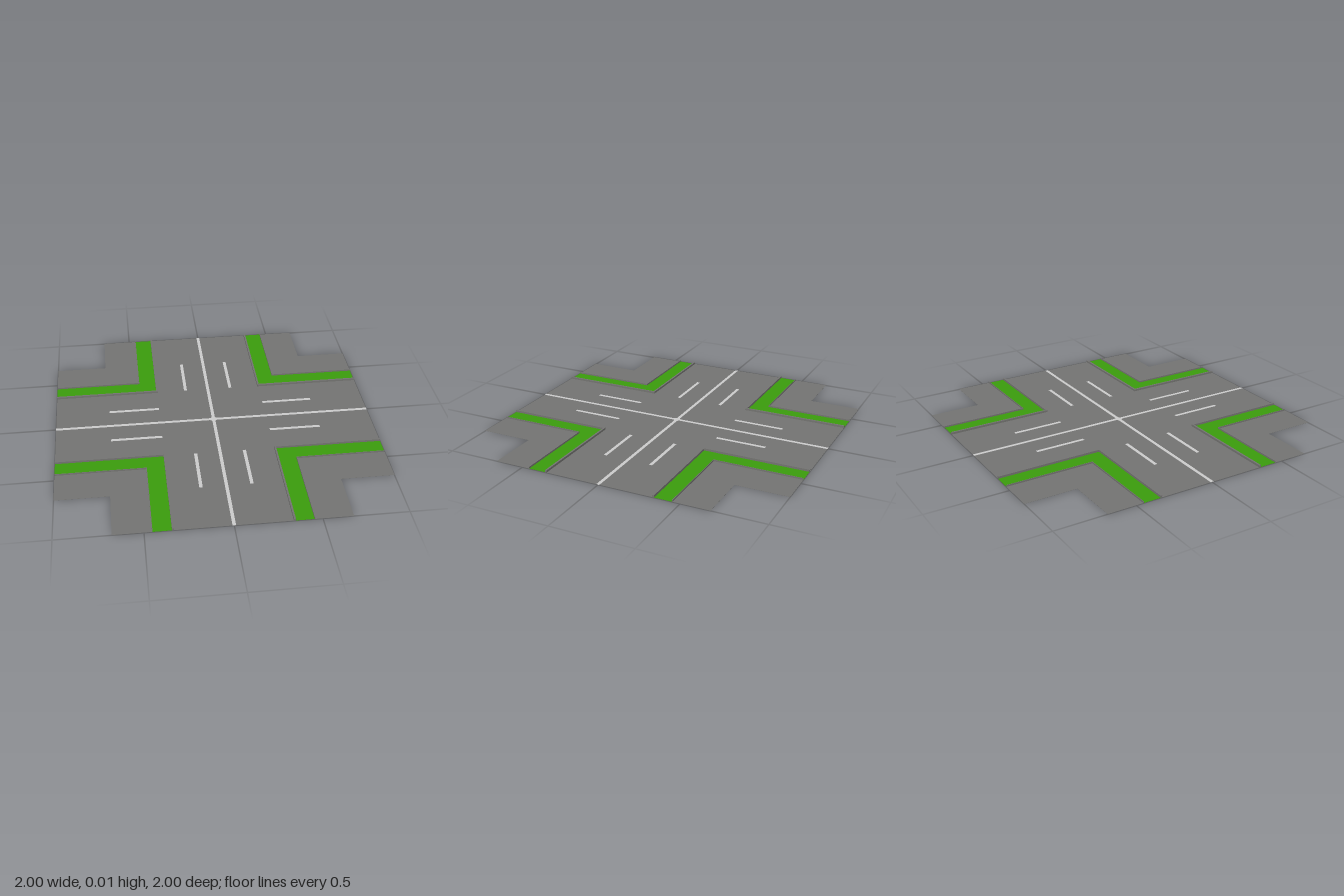
import * as THREE from 'three';

const material = (name, color) => {
  const m = new THREE.MeshStandardMaterial({ color });
  m.name = name;
  return m;
};

export function createModel() {
  const model = new THREE.Group();
  model.name = 'crossroads';
  const asphalt = material('asphalt grey', 0x747472);
  const grass = material('grass green', 0x3b9c0d);
  const paint = material('road paint', 0xcccccc);

  // Flat slab from an outline in x and z, between heights y0 and y1
  const slab = (name, points, y0, y1, mat, parent = model) => {
    const shape = new THREE.Shape(points.map(([x, z]) => new THREE.Vector2(x, z)));
    const geo = new THREE.ExtrudeGeometry(shape, { depth: y1 - y0, bevelEnabled: false });
    geo.rotateX(Math.PI / 2).translate(0, y1, 0);
    const mesh = new THREE.Mesh(geo, mat);
    mesh.name = name;
    parent.add(mesh);
  };
  const rect = (x0, z0, x1, z1) => [[x0, z0], [x1, z0], [x1, z1], [x0, z1]];
  // L-shaped outline following the street corner, from offset a to offset b
  const corner = (a, b) => [[a, a], [1, a], [1, b], [b, b], [b, 1], [a, 1]];

  // Crossing carriageways
  const r = 0.335;
  slab('road', [[-r, -1], [r, -1], [r, -r], [1, -r], [1, r], [r, r],
    [r, 1], [-r, 1], [-r, r], [-1, r], [-1, -r], [-r, -r]], 0.001, 0.002, asphalt);

  for (let i = 0; i < 4; i++) {
    // Street corner: kerb, grass verge, thin edging and pavement
    const block = new THREE.Group();
    block.name = 'streetCorner' + (i + 1);
    block.rotation.y = i * Math.PI / 2;
    slab('kerb', corner(r, 0.346), 0, 0.015, asphalt, block);
    slab('grassVerge', corner(0.346, 0.453), 0.001, 0.002, grass, block);
    slab('vergeEdging', corner(0.453, 0.456), 0, 0.012, asphalt, block);
    slab('pavement', corner(0.456, 0.677), 0.001, 0.002, asphalt, block);
    model.add(block);

    // Painted lines of one arm
    const arm = new THREE.Group();
    arm.name = 'armMarkings' + (i + 1);
    arm.rotation.y = i * Math.PI / 2;
    slab('centreLine', rect(-0.01, 0.01, 0.01, 1), 0, 0.003, paint, arm);
    for (const x of [-0.15, 0.15]) {
      slab('laneDash', rect(x - 0.01, 0.34, x + 0.01, 0.66), 0, 0.003, paint, arm);
    }
    model.add(arm);
  }

  // Small painted star where the centre lines cross
  const star = [];
  for (let i = 0; i < 8; i++) {
    const a = i * Math.PI / 4, d = i % 2 ? 0.02 : 0.045;
    star.push([d * Math.cos(a), d * Math.sin(a)]);
  }
  slab('centreStar', star, 0, 0.0032, paint);
  return model;
}
